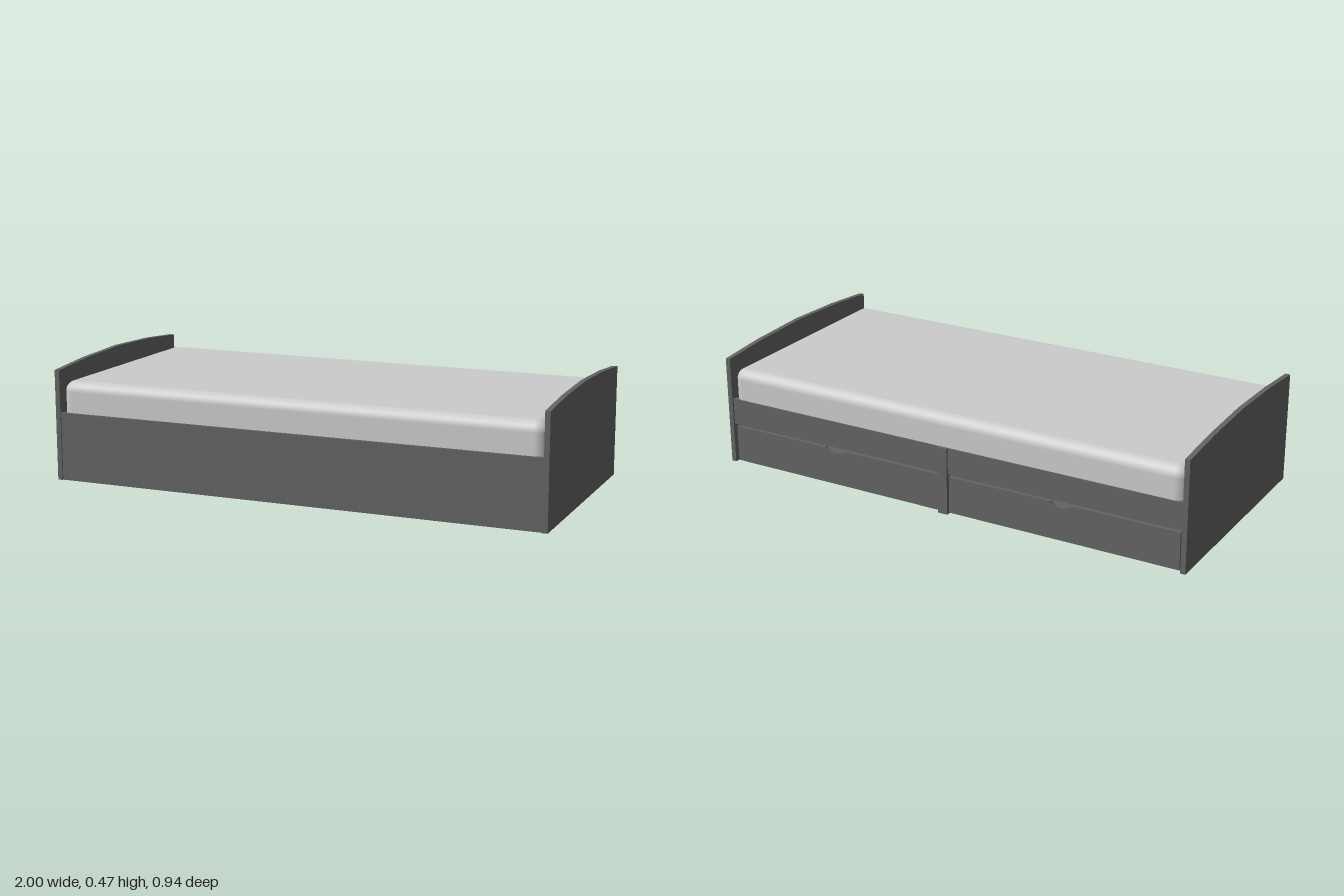
import * as THREE from 'three';
import { RoundedBoxGeometry } from 'three/addons/geometries/RoundedBoxGeometry.js';

const wood = new THREE.MeshStandardMaterial({ color: 0x636363 });
const fabric = new THREE.MeshStandardMaterial({ color: 0xcccccc });

function add(parent, name, geometry, material = wood) {
  const mesh = new THREE.Mesh(geometry, material);
  mesh.name = name;
  parent.add(mesh);
  return mesh;
}

// Box given by its minimum and maximum on each axis
function box(parent, name, [x0, x1], [y0, y1], [z0, z1]) {
  const mesh = add(parent, name, new THREE.BoxGeometry(x1 - x0, y1 - y0, z1 - z0));
  mesh.position.set((x0 + x1) / 2, (y0 + y1) / 2, (z0 + z1) / 2);
  return mesh;
}

// End board with a gently arched top edge
function endBoardGeometry(thickness) {
  const outline = [[-0.47, 0], [0.47, 0], [0.47, 0.44], [0.26, 0.457], [0, 0.466], [-0.26, 0.457], [-0.47, 0.44]];
  const shape = new THREE.Shape(outline.map(([z, y]) => new THREE.Vector2(z, y)));
  return new THREE.ExtrudeGeometry(shape, { depth: thickness, bevelEnabled: false })
    .rotateY(Math.PI / 2)
    .translate(-thickness / 2, 0, 0);
}

// Drawer front with a shallow scooped finger grip in its top edge
function drawerFrontGeometry(width, height, thickness) {
  const w = width / 2;
  const shape = new THREE.Shape();
  shape.moveTo(-w, 0);
  shape.lineTo(w, 0);
  shape.lineTo(w, height);
  shape.lineTo(0.045, height);
  shape.bezierCurveTo(0.03, height - 0.022, -0.03, height - 0.022, -0.045, height);
  shape.lineTo(-w, height);
  shape.closePath();
  return new THREE.ExtrudeGeometry(shape, { depth: thickness, bevelEnabled: false, curveSegments: 12 });
}

// Open-topped drawer centred on x, facing -z
function createDrawer(name, width) {
  const drawer = new THREE.Group();
  drawer.name = name;
  const w = width / 2, t = 0.015;
  add(drawer, 'drawerFront', drawerFrontGeometry(width, 0.148, t)).position.set(0, 0.005, -0.46);
  box(drawer, 'drawerBottom', [-w, w], [0.006, 0.016], [-0.445, 0.44]);
  box(drawer, 'drawerBack', [-w, w], [0.016, 0.13], [0.425, 0.44]);
  for (const s of [-1, 1]) {
    const x = s * (w - t / 2);
    box(drawer, 'drawerSide', [x - t / 2, x + t / 2], [0.016, 0.13], [-0.445, 0.425]);
  }
  return drawer;
}

export function createModel() {
  const bed = new THREE.Group();
  bed.name = 'bed';

  // Matching end boards and drawers on both sides
  for (const s of [-1, 1]) {
    const side = s > 0 ? 'left' : 'right';
    add(bed, side + 'EndBoard', endBoardGeometry(0.02)).position.x = s * 0.99;
    const drawer = createDrawer(side + 'Drawer', 0.95);
    drawer.position.x = s * 0.497;
    bed.add(drawer);
  }

  // Plain long panel at the front, rail above the drawers at the back
  box(bed, 'frontPanel', [-0.98, 0.98], [0, 0.27], [0.447, 0.465]);
  box(bed, 'backRail', [-0.98, 0.98], [0.163, 0.27], [-0.463, -0.445]);
  box(bed, 'centrePost', [-0.02, 0.02], [0, 0.27], [-0.472, -0.445]);

  // Base board and mattress resting inside the frame
  box(bed, 'mattressBase', [-0.98, 0.98], [0.2, 0.22], [-0.445, 0.447]);
  box(bed, 'mattressLedge', [-0.98, 0.98], [0.22, 0.262], [-0.445, 0.447]);
  const mattress = add(bed, 'mattress', new RoundedBoxGeometry(1.956, 0.175, 0.912, 6, 0.042), fabric);
  mattress.position.set(0, 0.3075, -0.002);

  return bed;
}
